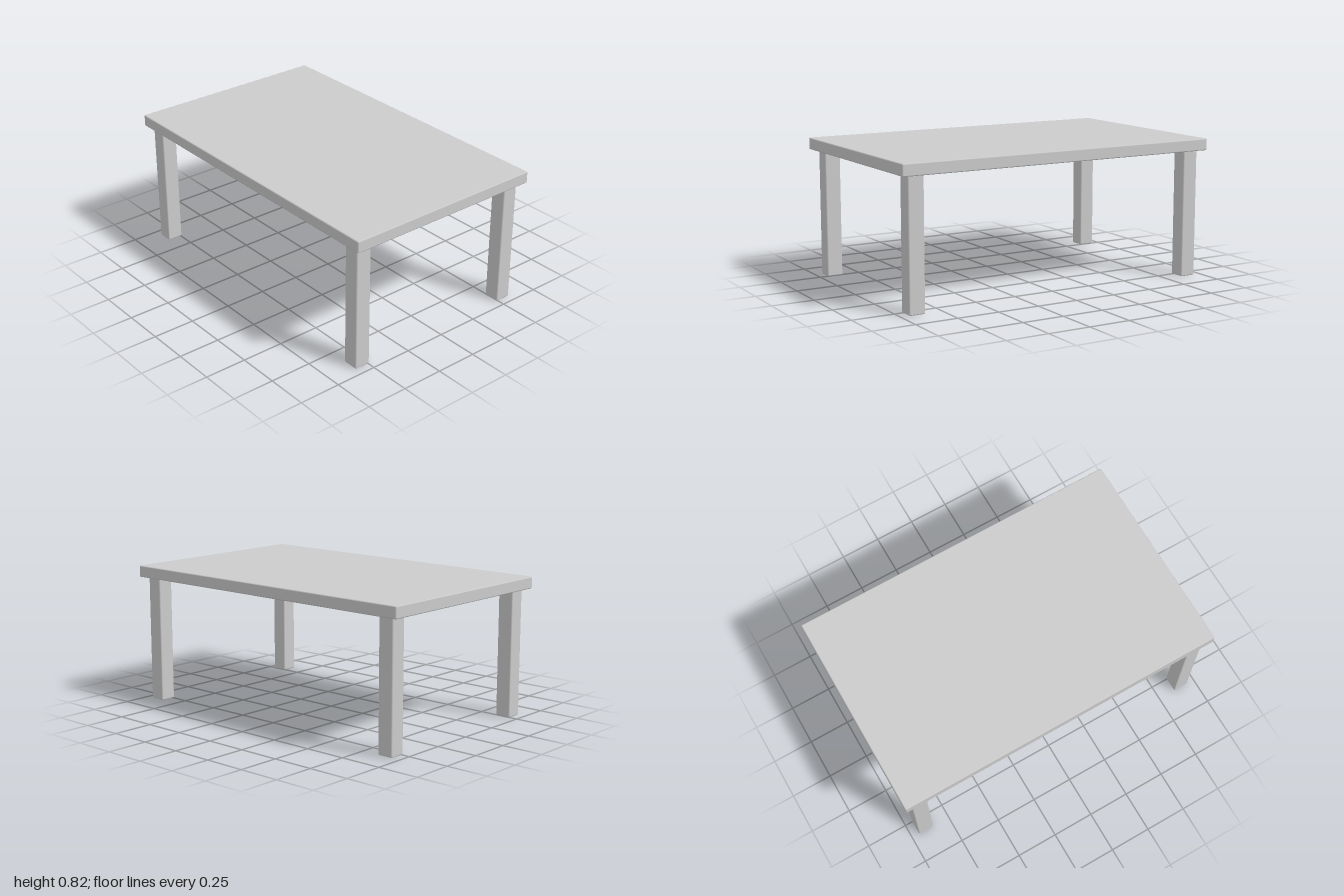
import * as THREE from 'three';
import { RoundedBoxGeometry } from 'three/addons/geometries/RoundedBoxGeometry.js';

const TOP_Y = 0.825, UNDERSIDE_Y = 0.755; // tabletop upper and lower faces
const LEG = 0.095;                        // square leg thickness
const BEVEL = 0.007;

export function createModel() {
  const table = new THREE.Group();
  table.name = 'table';
  const material = new THREE.MeshStandardMaterial({ color: 0xcccccc });

  // Box with softened edges, placed by its bottom centre
  function addBlock(name, w, h, d, x, y, z) {
    const mesh = new THREE.Mesh(new RoundedBoxGeometry(w, h, d, 1, BEVEL), material);
    mesh.name = name;
    mesh.position.set(x, y + h / 2, z);
    table.add(mesh);
  }

  // Tabletop
  addBlock('tabletop', 2, TOP_Y - UNDERSIDE_Y, 1.244, 0, UNDERSIDE_Y, 0);

  // Four legs, inset from the corners
  for (const [zName, zSide] of [['front', 1], ['back', -1]]) {
    for (const [xName, xSide] of [['Left', 1], ['Right', -1]]) {
      addBlock(`${zName}${xName}Leg`, LEG, UNDERSIDE_Y, LEG, xSide * 0.905, 0, zSide * 0.54);
    }
  }

  return table;
}
